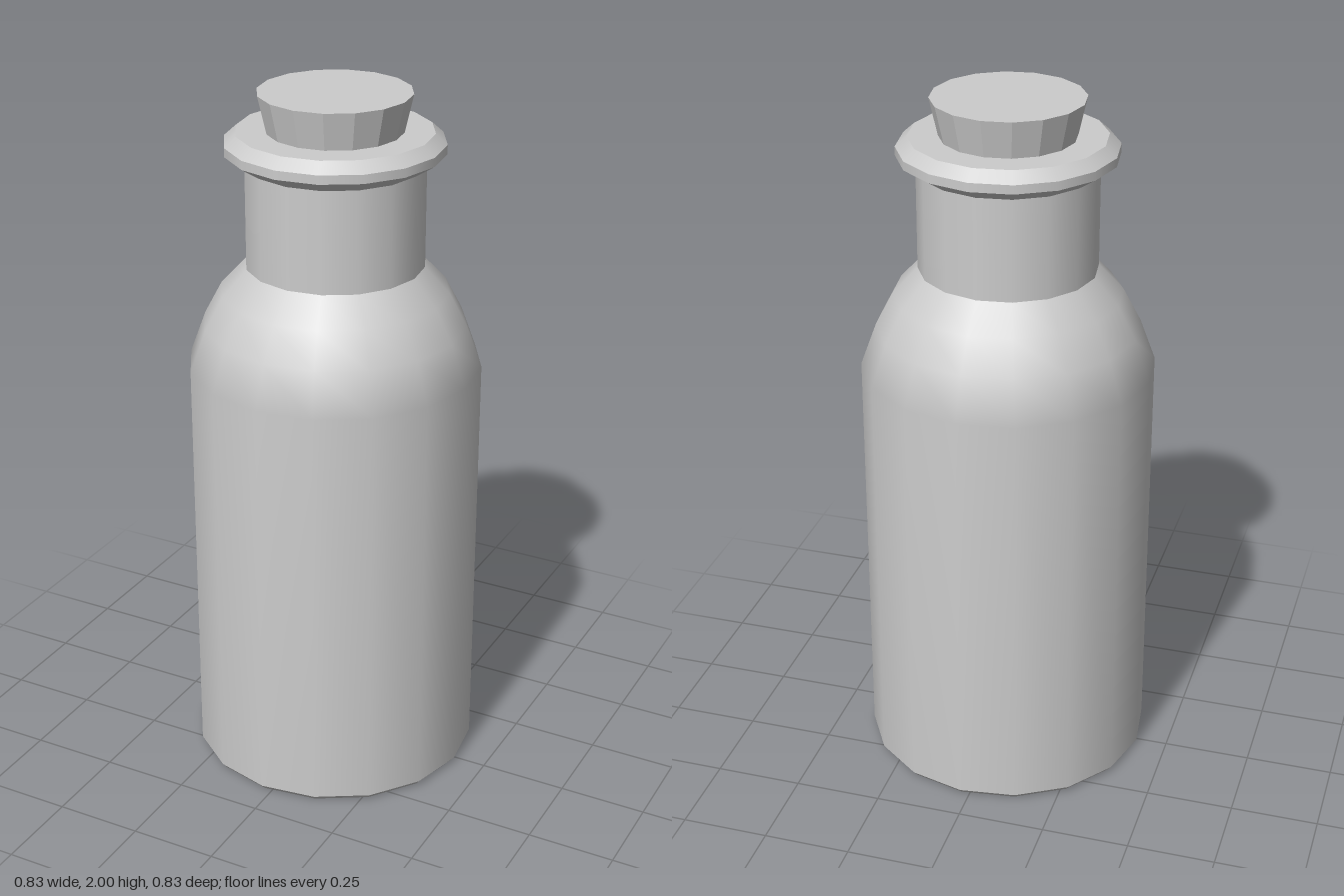
import * as THREE from 'three';

const SIDES = 16;
const TURN = THREE.MathUtils.degToRad(-3.5);

const smooth = new THREE.MeshStandardMaterial({ color: 0xcccccc });
const faceted = new THREE.MeshStandardMaterial({ color: 0xcccccc, flatShading: true });

// Revolve a profile of [radius, height] points, listed from bottom to top
function turned(name, profile, material = smooth) {
  const points = profile.map(([r, y]) => new THREE.Vector2(r, y));
  const mesh = new THREE.Mesh(new THREE.LatheGeometry(points, SIDES, TURN), material);
  mesh.name = name;
  return mesh;
}

export function createModel() {
  const model = new THREE.Group();
  model.name = 'corkedBottle';

  // Glass: separate bands keep the hard edges between them
  const bottle = new THREE.Group();
  bottle.name = 'bottle';
  bottle.add(
    turned('base', [[0, 0], [0.4, 0]], faceted),
    turned('baseBevel', [[0.4, 0], [0.414, 0.016]]),
    turned('bodyAndShoulder', [
      [0.414, 0.016], [0.414, 1.225], [0.37, 1.345], [0.32, 1.44], [0.25, 1.515],
    ]),
    turned('neck', [[0.25, 1.515], [0.25, 1.81]]),
  );

  // Lip around the mouth
  const lip = new THREE.Group();
  lip.name = 'lip';
  lip.add(
    turned('lipUnderside', [[0.25, 1.805], [0.304, 1.84]]),
    turned('lipEdge', [[0.304, 1.84], [0.304, 1.865]]),
    turned('lipBevel', [[0.304, 1.865], [0.272, 1.894]]),
    turned('lipTop', [[0.272, 1.894], [0.18, 1.894]], faceted),
  );
  bottle.add(lip);

  // Tapered stopper
  const cork = new THREE.Group();
  cork.name = 'cork';
  cork.add(
    turned('corkSide', [[0.187, 1.89], [0.212, 2]], faceted),
    turned('corkTop', [[0.212, 2], [0, 2]], faceted),
  );

  model.add(bottle, cork);
  return model;
}
